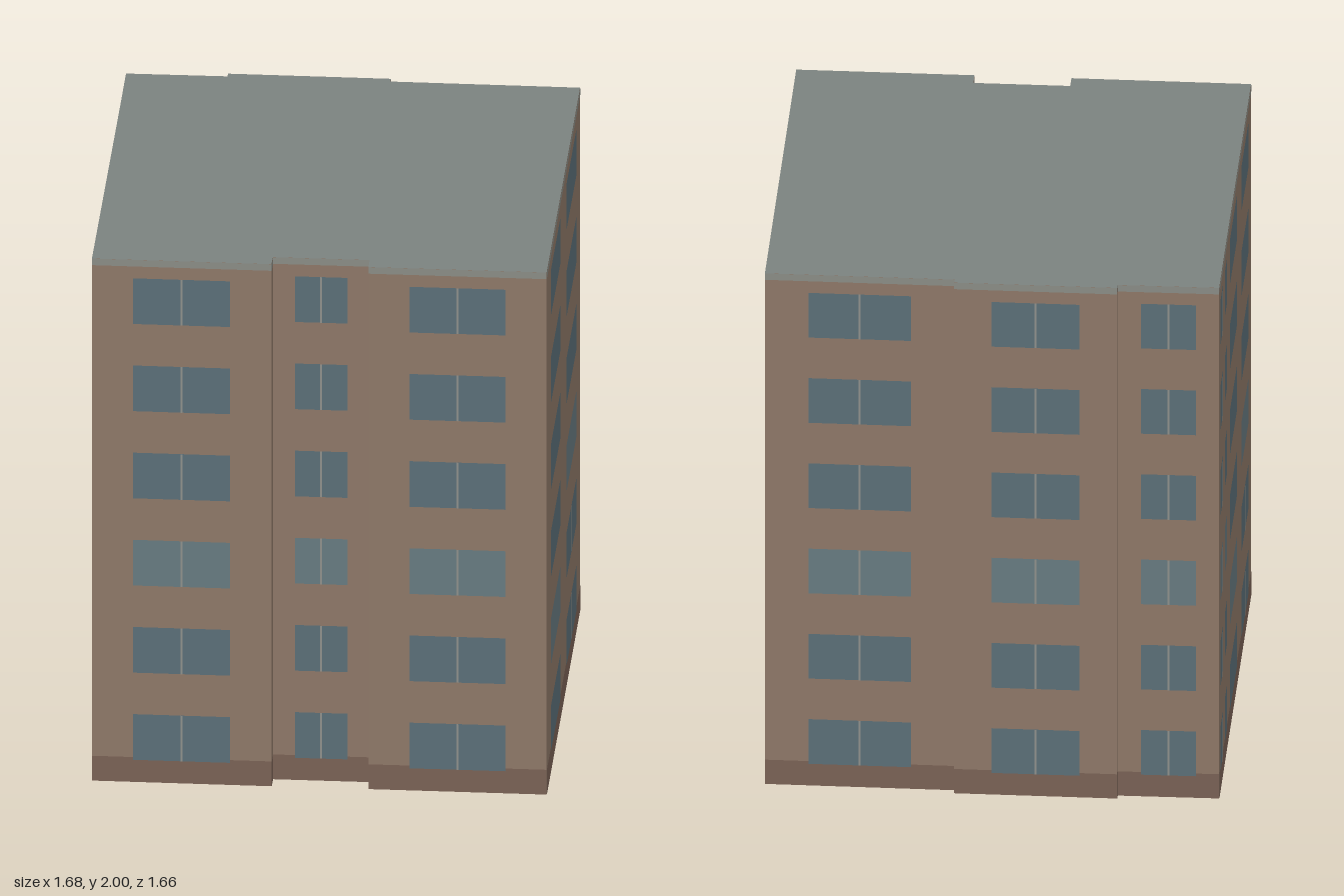
import * as THREE from 'three';
import { mergeGeometries } from 'three/addons/utils/BufferGeometryUtils.js';

// Footprint corners as [x, z], running along the front, right, back and left
const FOOTPRINT = [
  [-0.75, 0.83], [-0.122, 0.795], [-0.125, 0.735], [0.213, 0.715], [0.217, 0.774], [0.84, 0.738],
  [0.748, -0.833], [0.085, -0.797], [0.083, -0.82], [-0.487, -0.788], [-0.485, -0.765],
  [-0.84, -0.742], [-0.827, -0.522], [-0.817, -0.349],
];
const HEIGHT = 2, FLOORS = 6, STOREY = 0.334;

// Flat upright panel on wall a-b: centre distance along the wall, width, y range, outward offset
function panel(a, b, along, width, y0, y1, offset) {
  const dx = b[0] - a[0], dz = b[1] - a[1], len = Math.hypot(dx, dz);
  const ux = dx / len, uz = dz / len;
  return new THREE.PlaneGeometry(width, y1 - y0)
    .rotateY(Math.atan2(-dz, dx))
    .translate(a[0] + ux * along - uz * offset, (y0 + y1) / 2, a[1] + uz * along + ux * offset);
}

export function createModel() {
  const group = new THREE.Group();
  const parts = { walls: [], plinth: [], roofEdge: [], windows: [], paleWindows: [], mullions: [] };

  FOOTPRINT.forEach((a, i) => {
    const b = FOOTPRINT[(i + 1) % FOOTPRINT.length];
    const len = Math.hypot(b[0] - a[0], b[1] - a[1]);
    parts.walls.push(panel(a, b, len / 2, len, 0, HEIGHT, 0));
    parts.plinth.push(panel(a, b, len / 2, len, 0, 0.095, 0.001));
    parts.roofEdge.push(panel(a, b, len / 2, len, 1.975, HEIGHT, 0.001));
    if (len < 0.1) return; // short returns have no windows

    // Long walls carry two wide windows per floor, the others one
    const isLong = len > 1;
    const centres = isLong ? [0.255, 0.723] : [0.5];
    const width = len * (isLong ? 0.29 : 0.54);
    for (let floor = 0; floor < FLOORS; floor++) {
      const y0 = 0.085 + floor * STOREY, y1 = y0 + 0.175;
      centres.forEach((c, k) => {
        const pale = isLong ? floor === 1 + k && (k === 0 || floor === 2) : floor === 2;
        parts[pale ? 'paleWindows' : 'windows'].push(panel(a, b, c * len, width, y0, y1, 0.002));
        if (!isLong || floor <= k) parts.mullions.push(panel(a, b, c * len, 0.007, y0, y1, 0.003));
      });
    }
  });

  const colors = {
    walls: 0xa98f7c, plinth: 0x917566, roofEdge: 0xa4a79f,
    windows: 0x6d858f, paleWindows: 0x7b9299, mullions: 0xaaaca6,
  };
  for (const [name, list] of Object.entries(parts)) {
    const material = new THREE.MeshStandardMaterial({ color: colors[name] });
    if (name === 'walls') material.side = THREE.DoubleSide;
    const mesh = new THREE.Mesh(mergeGeometries(list), material);
    mesh.name = name;
    group.add(mesh);
  }

  // Flat roof; the underside of the building stays open
  const outline = new THREE.Shape(FOOTPRINT.map(([x, z]) => new THREE.Vector2(x, -z)));
  const roof = new THREE.Mesh(
    new THREE.ShapeGeometry(outline).rotateX(-Math.PI / 2).translate(0, HEIGHT, 0),
    new THREE.MeshStandardMaterial({ color: 0x7d8481, side: THREE.DoubleSide }),
  );
  roof.name = 'roof';
  group.add(roof);
  return group;
}
